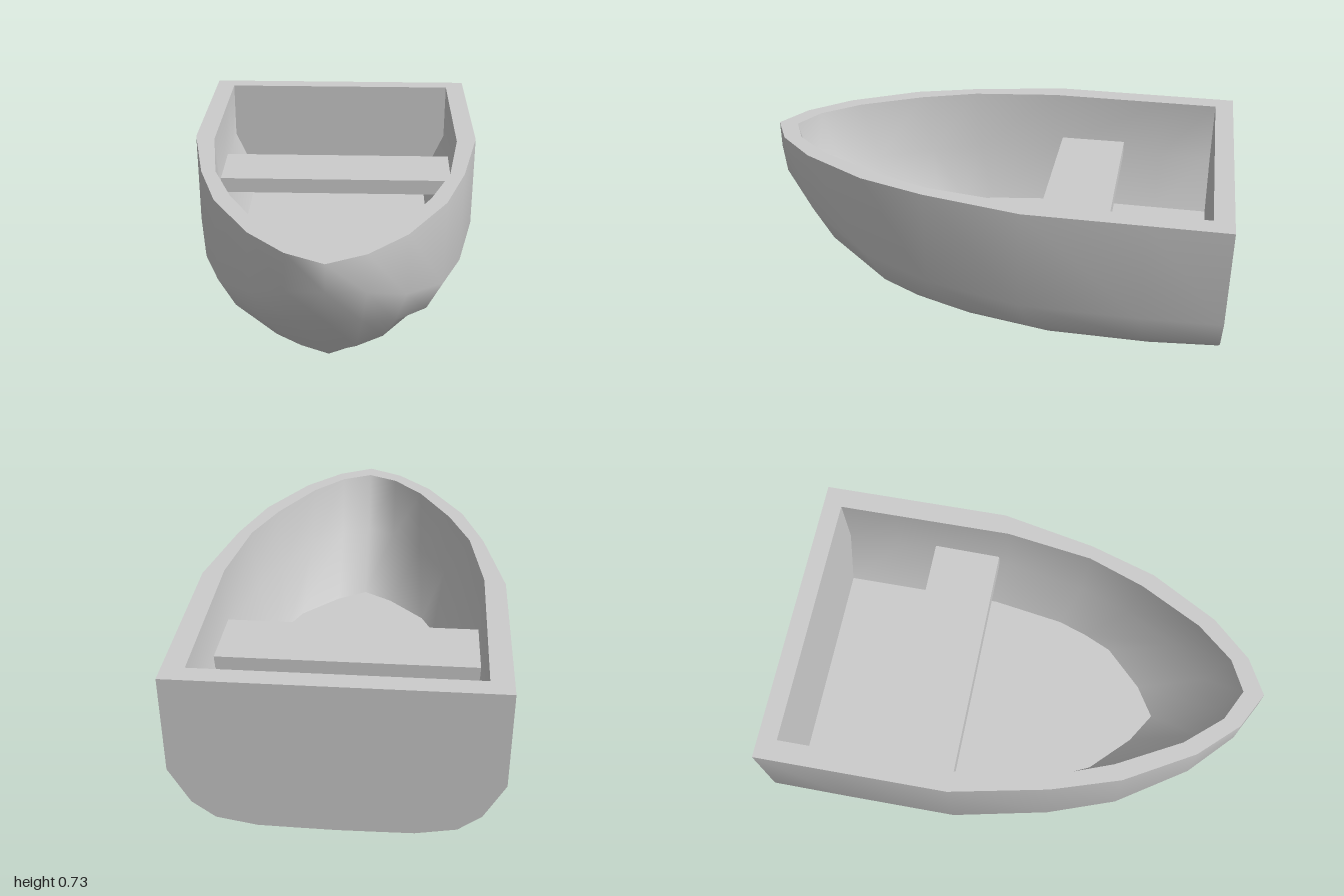
import * as THREE from 'three';
import { mergeVertices } from 'three/addons/utils/BufferGeometryUtils.js';

const TOP = 0.735, FLOOR = 0.235;
const { lerp, smoothstep } = THREE.MathUtils;

// Half outlines [x, z] from the stern to the bow
const RIM = [[0.632, -1], [0.632, -0.68], [0.632, -0.2], [0.55, 0.2], [0.46, 0.48], [0.3, 0.76], [0.15, 0.92], [0, 1]];
const INNER = [[0.545, -0.92], [0.545, -0.68], [0.545, -0.17], [0.49, 0.2], [0.4, 0.44], [0.26, 0.7], [0.13, 0.85], [0, 0.915]];
const SOLE = [[0.44, -0.92], [0.44, -0.68], [0.44, -0.22], [0.39, 0.1], [0.345, 0.23], [0.29, 0.35], [0.13, 0.51], [0, 0.59]];

// Hull rings below the rim: half width, bow z, heights at transom, side and bow
const RINGS = [
  [0.632, 1, 0.33, 0.32, 0.62],
  [0.55, 0.92, 0.18, 0.17, 0.45],
  [0.46, 0.75, 0.11, 0.09, 0.21],
  [0.3, 0.65, 0.08, 0.035, 0.135],
  [0.14, 0.5, 0.077, 0.012, 0.1],
];
// Keel line [z, y]
const KEEL = [[-1, 0.075], [-0.68, 0.003], [0, 0.003], [0.1, 0.023], [0.2, 0.043], [0.28, 0.058], [0.35, 0.071], [0.4, 0.08]];

// Mirror a half ring into a full one: left stern, bow, right stern
const mirror = (half) => [...half, ...half.slice(0, -1).reverse().map(([x, y, z]) => [-x, y, z])];
const atHeight = (half, y) => mirror(half.map(([x, z]) => [x, y, z]));

// Smooth skin between successive rings
function loft(rings, inward) {
  const n = rings[0].length, index = [];
  for (let r = 0; r < rings.length - 1; r++) {
    for (let i = 0; i < n - 1; i++) {
      const a = r * n + i, b = a + 1, c = a + n, d = c + 1;
      index.push(...(inward ? [a, c, b, b, c, d] : [a, b, c, b, d, c]));
    }
  }
  let g = new THREE.BufferGeometry();
  g.setAttribute('position', new THREE.Float32BufferAttribute(rings.flat(2), 3));
  g.setIndex(index);
  g = mergeVertices(g, 1e-4);
  g.computeVertexNormals();
  return g;
}

// Flat upward face from a ring, with an optional opening
function flatFace(ring, y, hole) {
  const points = (r) => r.map(([x, , z]) => new THREE.Vector2(x, -z));
  const shape = new THREE.Shape(points(ring));
  if (hole) shape.holes.push(new THREE.Path(points(hole)));
  return new THREE.ShapeGeometry(shape).rotateX(-Math.PI / 2).translate(0, y, 0);
}

// Upright face spanning the stern ends of the rings
function sternFace(rings, z, facingBack) {
  const side = rings.map((r) => r[0]);
  const outline = [
    ...side.map(([x, y]) => new THREE.Vector2(x, y)),
    ...side.filter(([x]) => x > 0).reverse().map(([x, y]) => new THREE.Vector2(-x, y)),
  ];
  const g = new THREE.ShapeGeometry(new THREE.Shape(outline));
  if (facingBack) g.rotateY(Math.PI);
  return g.translate(0, 0, z);
}

export function createModel() {
  const group = new THREE.Group();
  const material = new THREE.MeshStandardMaterial({ color: 0xcccccc });
  const add = (name, geometry) => {
    const mesh = new THREE.Mesh(geometry, material);
    mesh.name = name;
    group.add(mesh);
    return mesh;
  };

  // Outer shell: rings narrow, pull back from the bow and sweep up towards it
  const outer = [atHeight(RIM, TOP)];
  for (const [width, bowZ, sternY, sideY, bowY] of RINGS) {
    outer.push(mirror(RIM.map(([x, z], i) => {
      const f = x / RIM[0][0];
      const y = i === 0 ? sternY : lerp(bowY, sideY, smoothstep(f, 0, 1));
      return [f * width, y, -1 + (z + 1) * (bowZ + 1) / 2];
    })));
  }
  outer.push(mirror(KEEL.map(([z, y]) => [0, y, z])));
  add('hull', loft(outer, false));
  add('transom', sternFace(outer, -1, true));

  // Inside walls, upright near the rim and sloping to the floor
  const bend = INNER.map(([x, z], i) => {
    const t = 0.07 * Math.min(i, 3);
    return [lerp(x, SOLE[i][0], t), lerp(z, SOLE[i][1], t)];
  });
  const inner = [atHeight(INNER, TOP), atHeight(bend, 0.47), atHeight(SOLE, FLOOR)];
  add('innerHull', loft(inner, true));
  add('innerTransom', sternFace(inner, -0.92, false));
  add('floor', flatFace(inner[2], FLOOR));
  add('gunwale', flatFace(outer[0], TOP, inner[0]));

  // Bench across the middle, its ends let into the walls
  add('bench', new THREE.BoxGeometry(1.09, 0.07, 0.295)).position.set(0, 0.487, -0.3625);

  return group;
}
